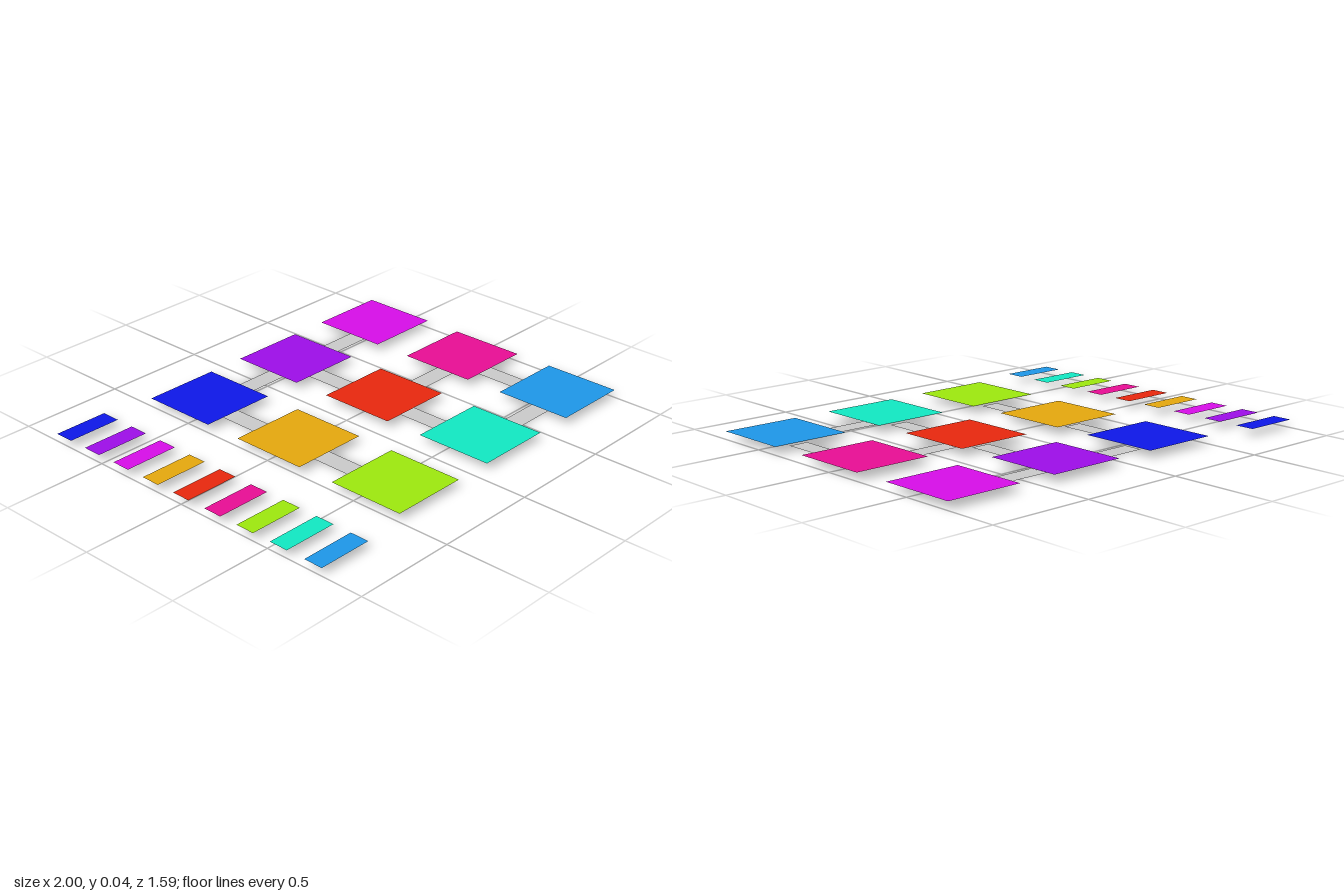
import * as THREE from 'three';

const U = 0.187;          // layout unit
const TOP = 0.037;        // height of rooms and key above the corridors
const COLORS = [
  0x0e17e9, 0x9e0ee9, 0xd80ee9,
  0xe6a90e, 0xe9280e, 0xe90e95,
  0x9ee90e, 0x11e9c4, 0x1e98e9,
];

// thin horizontal sheet centred at (x, y, z)
function sheet(name, w, d, x, y, z, color) {
  const geometry = new THREE.PlaneGeometry(w, d).rotateX(-Math.PI / 2);
  const material = new THREE.MeshStandardMaterial({ color, side: THREE.DoubleSide });
  const mesh = new THREE.Mesh(geometry, material);
  mesh.name = name;
  mesh.position.set(x, y, z);
  return mesh;
}

export function createModel() {
  const model = new THREE.Group();
  model.name = 'roomMap';
  const colX = (c) => 1 - U - 3 * U * (2 - c);
  const rowZ = (r) => 3 * U * (r - 1);

  const rooms = new THREE.Group();
  rooms.name = 'rooms';
  const key = new THREE.Group();
  key.name = 'colorKey';
  const corridors = new THREE.Group();
  corridors.name = 'corridors';
  model.add(rooms, key, corridors);

  // square rooms on a 3 x 3 grid, each with a matching key strip
  COLORS.forEach((color, i) => {
    rooms.add(sheet('room', 2 * U, 2 * U, colX(i % 3), TOP, rowZ(Math.floor(i / 3)), color));
    key.add(sheet('keyStrip', 0.265, U / 2, -0.8675, TOP, (i - 4) * U, color));
  });

  // corridors running sideways: [left column, row]
  for (const [c, r] of [[0, 0], [1, 0], [1, 1], [1, 2]]) {
    corridors.add(sheet('corridorAcross', 2 * U, U / 2, colX(c) + 1.5 * U, 0, rowZ(r), 0xcccccc));
  }
  // corridors running front to back: [column, rear row]
  for (const [c, r] of [[0, 0], [0, 1], [1, 0], [1, 1], [2, 1]]) {
    corridors.add(sheet('corridorAlong', U / 2, 2 * U, colX(c), 0, rowZ(r) + 1.5 * U, 0xcccccc));
  }
  return model;
}
